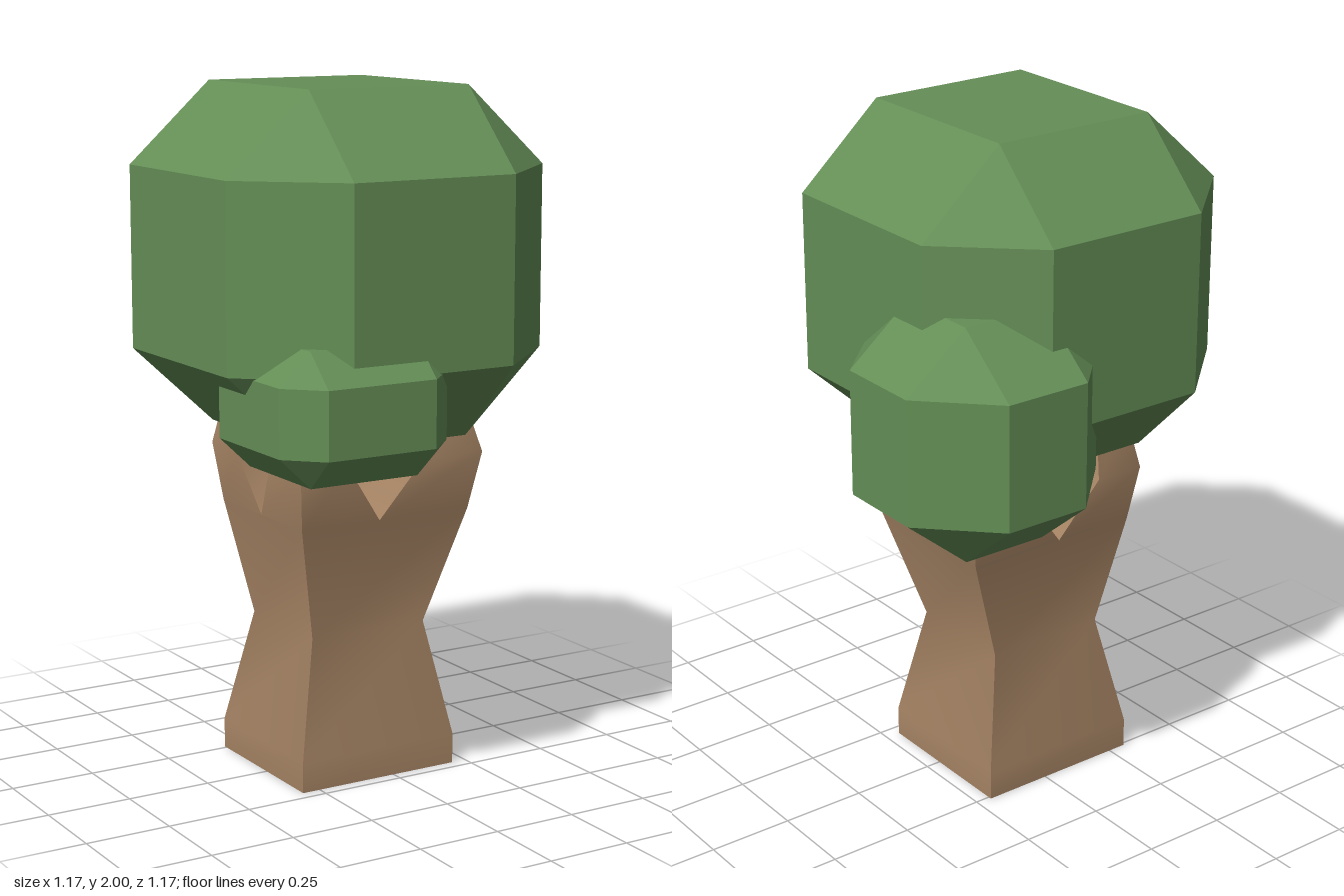
import * as THREE from 'three';
import { ConvexGeometry } from 'three/addons/geometries/ConvexGeometry.js';
import { mergeGeometries, toCreasedNormals } from 'three/addons/utils/BufferGeometryUtils.js';

// Loft through rectangular sections [y, x0, x1, z0, z1], listed bottom to top.
function loft(sections, capBottom, capTop) {
  const positions = [], index = [];
  for (const [y, x0, x1, z0, z1] of sections) {
    positions.push(x0, y, z1, x1, y, z1, x1, y, z0, x0, y, z0);
  }
  for (let r = 0; r < sections.length - 1; r++) {
    for (let i = 0; i < 4; i++) {
      const a = r * 4 + i, b = r * 4 + (i + 1) % 4;
      index.push(a, b, b + 4, a, b + 4, a + 4);
    }
  }
  if (capBottom) index.push(0, 3, 2, 0, 2, 1);
  const t = (sections.length - 1) * 4;
  if (capTop) index.push(t, t + 1, t + 2, t, t + 2, t + 3);
  const geometry = new THREE.BufferGeometry();
  geometry.setAttribute('position', new THREE.Float32BufferAttribute(positions, 3));
  geometry.setIndex(index);
  return geometry;
}

// Bevelled block; each axis is [outer min, inner min, inner max, outer max].
function foliage(name, x, y, z, material) {
  const points = [];
  for (const i of [0, 1]) for (const j of [0, 1]) for (const k of [0, 1]) {
    const outer = [x[i * 3], y[j * 3], z[k * 3]];
    const inner = [x[1 + i], y[1 + j], z[1 + k]];
    for (let axis = 0; axis < 3; axis++) {
      const p = inner.slice();
      p[axis] = outer[axis];
      points.push(new THREE.Vector3(...p));
    }
  }
  const mesh = new THREE.Mesh(new ConvexGeometry(points), material);
  mesh.name = name;
  return mesh;
}

export function createModel() {
  const tree = new THREE.Group();
  tree.name = 'tree';
  const bark = new THREE.MeshStandardMaterial({ color: 0xa68464 });
  const leaves = new THREE.MeshStandardMaterial({ color: 0x658f57, flatShading: true });

  // Pinched square trunk
  const parts = [loft([
    [0, -0.305, 0.205, -0.26, 0.215],
    [0.09, -0.305, 0.205, -0.26, 0.215],
    [0.43, -0.235, 0.14, -0.195, 0.15],
    [0.77, -0.305, 0.25, -0.25, 0.215],
  ], true, false)];

  // Four branches, one from each quarter of the trunk top
  const xSpans = [
    [[-0.305, -0.05], [-0.325, -0.17], [-0.29, -0.19]],
    [[-0.05, 0.25], [0.08, 0.28], [0.12, 0.24]],
  ];
  const zSpans = [
    [[-0.25, -0.02], [-0.28, -0.13], [-0.24, -0.15]],
    [[-0.02, 0.215], [0.07, 0.245], [0.09, 0.185]],
  ];
  const heights = [0.77, 0.94, 1.13];
  for (const xs of xSpans) for (const zs of zSpans) {
    parts.push(loft(heights.map((y, i) => [y, ...xs[i], ...zs[i]]), false, true));
  }
  const trunk = new THREE.Mesh(toCreasedNormals(mergeGeometries(parts), 0.6), bark);
  trunk.name = 'trunkAndBranches';
  tree.add(trunk);

  // Foliage blocks
  tree.add(
    foliage('mainCanopy', [-0.585, -0.33, 0.18, 0.435], [1.01, 1.245, 1.77, 2],
      [-0.5, -0.265, 0.305, 0.54], leaves),
    foliage('backFoliage', [-0.06, 0.13, 0.39, 0.582], [0.89, 1.05, 1.415, 1.572],
      [-0.588, -0.397, -0.135, 0.057], leaves),
    foliage('frontFoliage', [-0.53, -0.435, -0.1, -0.005], [0.96, 1.05, 1.24, 1.33],
      [0.06, 0.155, 0.49, 0.585], leaves),
  );
  return tree;
}
